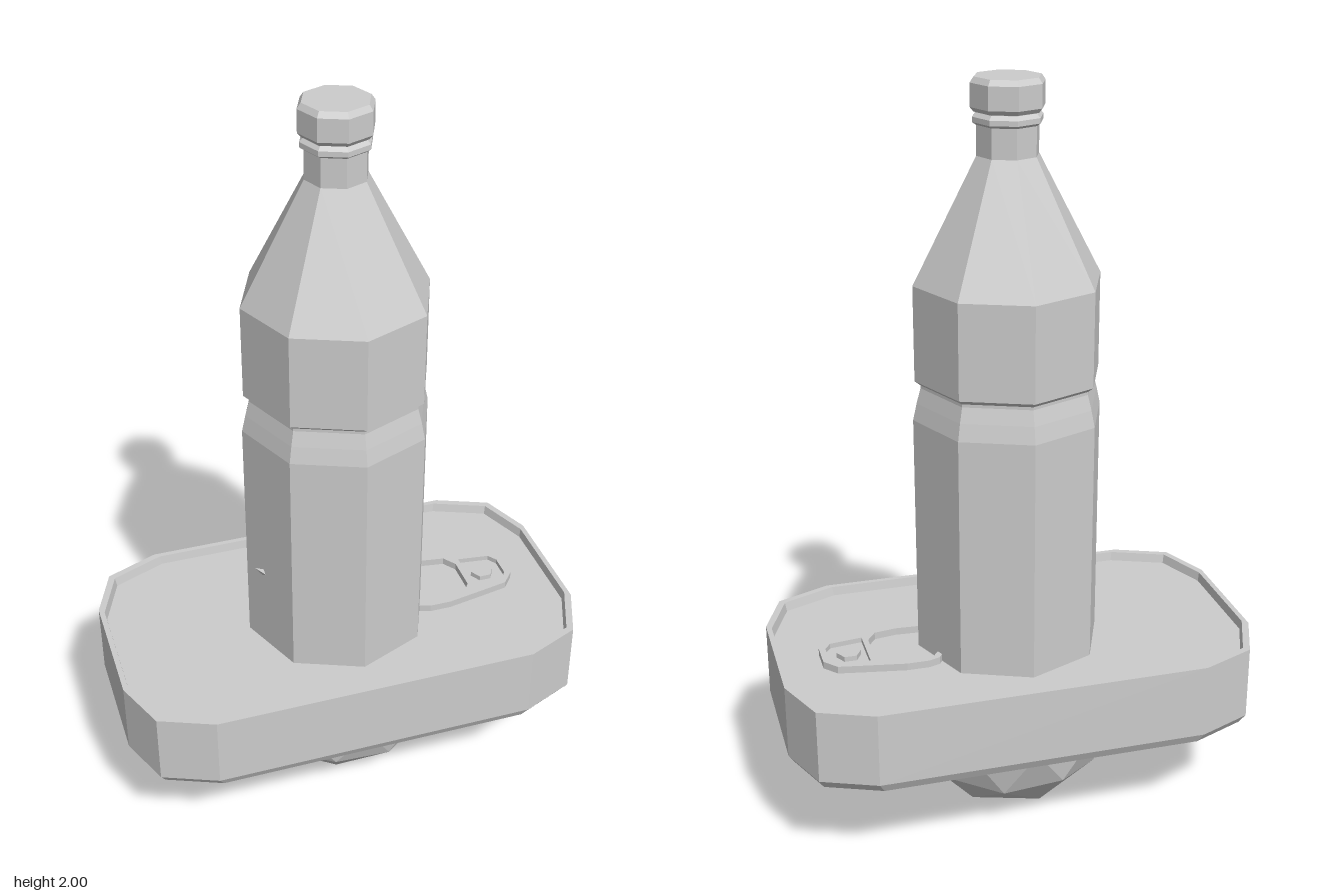
import * as THREE from 'three';

const grey = new THREE.MeshStandardMaterial({ color: 0xcccccc, flatShading: true, side: THREE.DoubleSide });

function add(parent, name, geometry, x = 0, y = 0, z = 0) {
  const mesh = new THREE.Mesh(geometry, grey);
  mesh.name = name;
  mesh.position.set(x, y, z);
  parent.add(mesh);
  return mesh;
}

// Skin through copies of one outline; each layer is [inset, height], inset null = centre point
function loft(outline, layers) {
  const pos = [], index = [], n = outline.length;
  for (const [inset, y] of layers) {
    for (const [x, z] of outline) {
      if (inset === null) pos.push(0, y, 0);
      else pos.push(x - Math.sign(x) * inset, y, z - Math.sign(z) * inset);
    }
  }
  for (let i = 0; i < layers.length - 1; i++) {
    for (let j = 0; j < n; j++) {
      const a = i * n + j, b = i * n + (j + 1) % n;
      index.push(a, a + n, b, b, a + n, b + n);
    }
  }
  const g = new THREE.BufferGeometry();
  g.setAttribute('position', new THREE.Float32BufferAttribute(pos, 3));
  g.setIndex(index);
  g.computeVertexNormals();
  return g;
}

// Flat plate from [x, z] outlines, lying in the ground plane and rising by depth
function plate(outline, holes, depth) {
  const pts = (list) => list.map(([x, z]) => new THREE.Vector2(x, -z));
  const shape = new THREE.Shape(pts(outline));
  for (const h of holes) shape.holes.push(new THREE.Path(pts(h)));
  return new THREE.ExtrudeGeometry(shape, { depth, bevelEnabled: false }).rotateX(-Math.PI / 2);
}

// Complete a half outline by mirroring it across z = c
const mirrorZ = (half, c) => [...half, ...half.map(([x, z]) => [x, 2 * c - z]).reverse()];

export function createModel() {
  const model = new THREE.Group();
  model.name = 'stackedFoodItems';

  // Round fruit: faceted ball, pole down, slightly squashed with a flattened underside
  const ball = new THREE.IcosahedronGeometry(1, 1).rotateZ(-Math.atan(2 / (1 + Math.sqrt(5))));
  const p = ball.attributes.position;
  for (let i = 0; i < p.count; i++) {
    const y = p.getY(i);
    if (Math.abs(y) > 0.7 && Math.abs(y) < 0.95) p.setY(i, Math.sign(y) * 0.9);
  }
  ball.scale(0.3, 0.27, 0.3);
  add(model, 'fruit', ball, 0, 0.275, 0);

  // Stem, its tip just poking through the bottle
  const from = new THREE.Vector3(-0.1, 0.6, 0.03), tip = new THREE.Vector3(-0.25, 0.75, 0.072);
  const dir = tip.clone().sub(from);
  const stem = add(model, 'fruitStem', new THREE.ConeGeometry(0.05, dir.length(), 4));
  stem.position.copy(from).addScaledVector(dir, 0.5);
  stem.quaternion.setFromUnitVectors(new THREE.Vector3(0, 1, 0), dir.normalize());

  // Flat tin with cut corners, chamfered base and recessed lid
  const tin = new THREE.Group();
  tin.name = 'tin';
  model.add(tin);
  const corner = [[0.642, 0.17], [0.585, 0.31], [0.44, 0.37]];
  const side = [...corner, ...corner.map(([x, z]) => [-x, z]).reverse()];
  const tinOutline = [...side, ...side.map(([x, z]) => [x, -z]).reverse()];
  add(tin, 'tinBody', loft(tinOutline, [
    [null, 0.28], [0.014, 0.28], [0, 0.307], [0, 0.51], [0.014, 0.51], [0.018, 0.485], [null, 0.485],
  ]));

  // Pull tab with a finger opening, a sunken plate and a rivet
  const c = -0.018;
  const tabOutline = mirrorZ([[0.2, -0.085], [0.22, -0.115], [0.25, -0.125], [0.31, -0.125],
    [0.41, -0.107], [0.49, -0.092], [0.522, -0.055]], c);
  const opening = mirrorZ([[0.215, -0.08], [0.235, -0.105], [0.3, -0.109], [0.36, -0.1], [0.385, -0.065]], c);
  const rivetBay = mirrorZ([[0.4, -0.083], [0.488, -0.072], [0.505, -0.048]], c);
  add(tin, 'pullTab', plate(tabOutline, [opening, rivetBay], 0.02), 0, 0.485, 0);
  add(tin, 'tabPlate', plate(rivetBay, [], 0.006), 0, 0.485, 0);
  add(tin, 'rivet', new THREE.CylinderGeometry(0.033, 0.033, 0.02, 6).rotateY(Math.PI / 6), 0.447, 0.495, c);

  // Eight-sided bottle with a waist groove and screw cap
  const lathe = (pts) => new THREE.LatheGeometry(pts.map(([r, y]) => new THREE.Vector2(r, y)), 8);
  const bottle = new THREE.Group();
  bottle.name = 'bottle';
  model.add(bottle);
  add(bottle, 'bottleBody', lathe([
    [0, 0.47], [0.252, 0.47], [0.252, 1.14], [0.242, 1.185], [0.231, 1.225], [0.231, 1.233],
    [0.246, 1.245], [0.246, 1.495], [0.08, 1.81], [0.08, 1.93],
  ]));
  add(bottle, 'neckRing', lathe([[0.08, 1.885], [0.09, 1.892], [0.09, 1.905], [0.08, 1.915]]));
  add(bottle, 'cap', lathe([[0, 1.917], [0.086, 1.917], [0.095, 1.928], [0.095, 1.986], [0.085, 2], [0, 2]]));

  return model;
}
